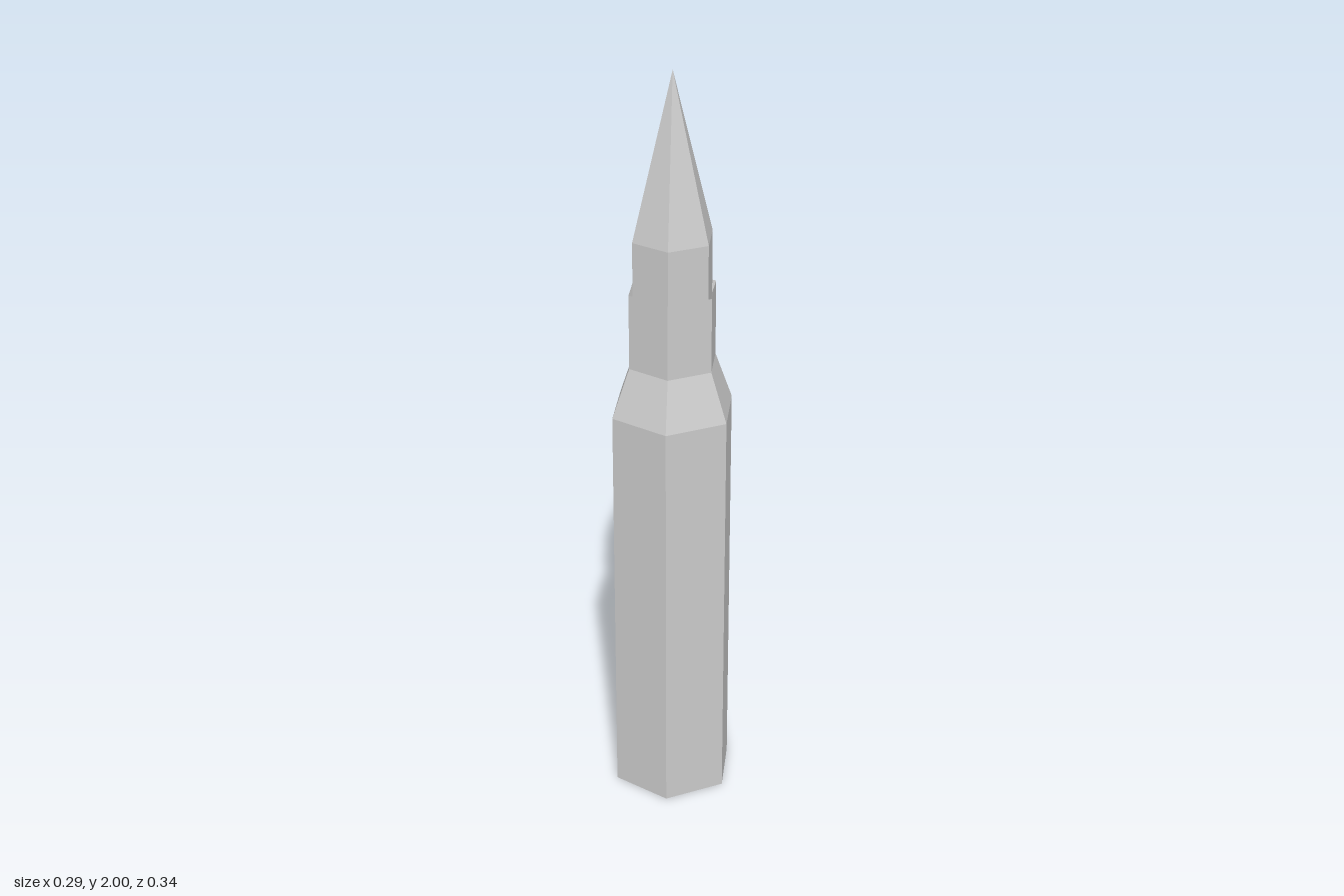
import * as THREE from 'three';

const SIDES = 6;

// Revolve a [radius, height] profile into a faceted hexagonal part
function hexPart(name, profile) {
  const points = profile.map(([r, y]) => new THREE.Vector2(r, y));
  const material = new THREE.MeshStandardMaterial({ color: 0xcccccc, flatShading: true });
  const mesh = new THREE.Mesh(new THREE.LatheGeometry(points, SIDES), material);
  mesh.name = name;
  return mesh;
}

export function createModel() {
  const group = new THREE.Group();
  group.name = 'cartridge';

  // Case: flat base, straight body, sloped shoulder, neck, rim sloping inward
  group.add(hexPart('case', [
    [0, 0], [0.168, 0], [0.168, 1.11], [0.12, 1.24], [0.12, 1.44], [0.109, 1.41],
  ]));

  // Bullet: short straight shank seated in the neck, then a pointed tip
  group.add(hexPart('bullet', [[0.109, 1.41], [0.109, 1.577], [0, 2]]));

  return group;
}
